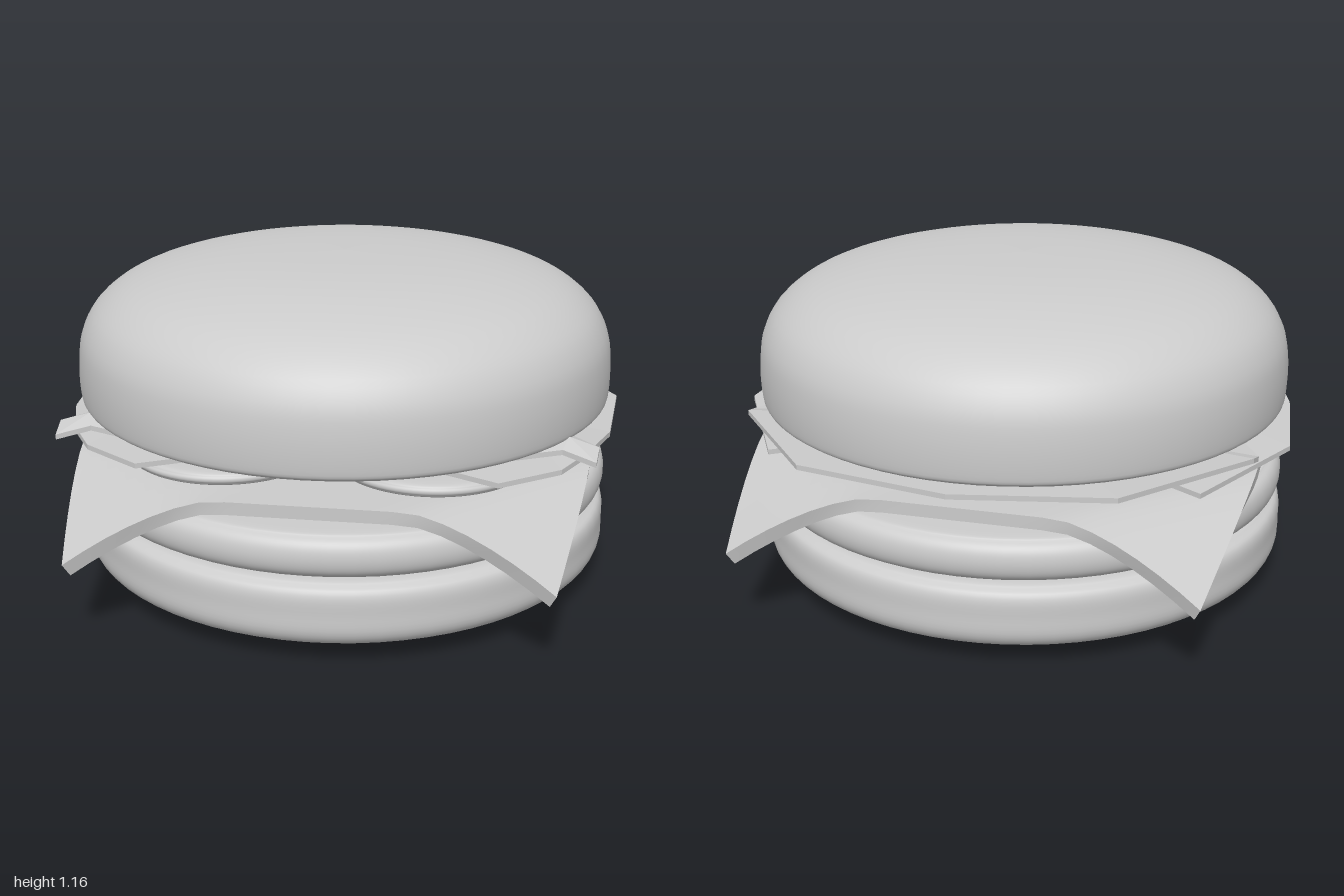
import * as THREE from 'three';
import { toCreasedNormals, mergeVertices } from 'three/addons/utils/BufferGeometryUtils.js';

const mat = new THREE.MeshStandardMaterial({ color: 0xcccccc });
const leafMat = new THREE.MeshStandardMaterial({ color: 0xcccccc, side: THREE.DoubleSide });
const CZ = 0.02; // depth of the stack's axis

const vec2 = (pts) => pts.map(([r, y]) => new THREE.Vector2(r, y));

// Smooth round layer turned from a few profile points, bottom to top
function turned(name, pts, samples = 48) {
  const profile = new THREE.SplineCurve(vec2(pts)).getPoints(samples);
  profile.forEach((p) => { p.x = Math.max(0, p.x); });
  const mesh = new THREE.Mesh(new THREE.LatheGeometry(profile, 72), mat);
  mesh.name = name;
  mesh.position.z = CZ;
  return mesh;
}

// Square slice whose four corners droop over the patty
function cheeseSlice() {
  const geo = mergeVertices(new THREE.BoxGeometry(2, 1, 2, 20, 1, 20).deleteAttribute('normal').deleteAttribute('uv'));
  const p = geo.attributes.position;
  for (let i = 0; i < p.count; i++) {
    const u = p.getX(i), v = p.getZ(i), top = p.getY(i) > 0;
    const fold = Math.max(0, (Math.abs(u) + Math.abs(v) - 1.35) / 0.65);
    const t = Math.pow(fold, 1.4);
    const inset = top ? 0 : 0.02 * Math.min(1, fold * 2);
    p.setXYZ(i,
      u * 0.9 - Math.sign(u) * (0.1 * t + inset),
      (top ? 0.53 : 0.485) - 0.22 * t,
      v * 0.845 + Math.sign(v) * (0.085 * t - inset) + CZ);
  }
  const mesh = new THREE.Mesh(toCreasedNormals(geo, 0.6), mat);
  mesh.name = 'cheeseSlice';
  return mesh;
}

// Thin faceted leaf: rim points [x, y, z] joined to a middle point, top and bottom
function leaf(name, mid, rim, thick = 0.018) {
  const pos = [];
  const down = ([x, y, z]) => [x, y - thick, z];
  rim.forEach((a, i) => {
    const b = rim[(i + 1) % rim.length];
    pos.push(...mid, ...a, ...b);
    pos.push(...down(mid), ...down(b), ...down(a));
    pos.push(...a, ...down(a), ...b, ...b, ...down(a), ...down(b));
  });
  const geo = new THREE.BufferGeometry();
  geo.setAttribute('position', new THREE.Float32BufferAttribute(pos, 3));
  geo.computeVertexNormals();
  const mesh = new THREE.Mesh(geo, leafMat);
  mesh.name = name;
  return mesh;
}

export function createModel() {
  const burger = new THREE.Group();
  burger.name = 'burger';

  burger.add(turned('bottomBun', [
    [0, 0.005], [0.4, 0.01], [0.65, 0.025], [0.82, 0.052], [0.92, 0.085], [0.957, 0.13],
    [0.96, 0.2], [0.957, 0.265], [0.93, 0.295], [0.85, 0.308], [0.4, 0.31], [0, 0.31],
  ]));

  burger.add(turned('patty', [
    [0, 0.315], [0.5, 0.315], [0.86, 0.315], [0.92, 0.325], [0.948, 0.35], [0.957, 0.392],
    [0.948, 0.435], [0.92, 0.46], [0.86, 0.47], [0.5, 0.47], [0, 0.47],
  ]));

  burger.add(cheeseSlice());

  // Three overlapping tomato slices
  [[0, -0.2], [-0.36, 0.41], [0.36, 0.41]].forEach(([x, z], i) => {
    const slice = turned('tomatoSlice' + (i + 1), [
      [0, 0.534], [0.2, 0.534], [0.325, 0.535], [0.345, 0.545], [0.35, 0.556],
      [0.345, 0.567], [0.325, 0.578], [0.2, 0.579], [0, 0.579],
    ], 28);
    slice.position.set(x, 0, z);
    burger.add(slice);
  });

  // Back leaf, rising towards the rear
  burger.add(leaf('backLettuce', [0, 0.625, -0.2], [
    [0, 0.652, -0.985], [-0.53, 0.66, -0.9], [-0.9, 0.645, -0.45], [-0.91, 0.625, -0.38],
    [-0.6, 0.615, 0.2], [0, 0.605, 0.5],
    [0.6, 0.615, 0.2], [0.91, 0.625, -0.38], [0.9, 0.645, -0.45], [0.53, 0.66, -0.9],
  ]));

  // Side leaves, with a small raised curl near the front
  for (const s of [1, -1]) {
    const rim = [
      [1.0, 0.592, -0.18], [0.75, 0.58, -0.63], [0.35, 0.59, -0.4], [0.2, 0.605, 0.1],
      [0.3, 0.6, 0.6], [0.6, 0.595, 0.74], [0.8, 0.605, 0.62], [0.88, 0.62, 0.5], [0.965, 0.6, 0.23],
    ];
    const curl = [
      [0.92, 0.655, 0.53], [0.8, 0.665, 0.42], [0.62, 0.64, 0.45], [0.62, 0.625, 0.58],
      [0.8, 0.655, 0.57], [0.91, 0.635, 0.62],
    ];
    const side = (pts) => {
      const mirrored = pts.map(([x, y, z]) => [x * s, y, z]);
      return s > 0 ? mirrored : mirrored.reverse();
    };
    const word = s > 0 ? 'left' : 'right';
    burger.add(leaf(word + 'Lettuce', [0.6 * s, 0.608, 0.1], side(rim)));
    burger.add(leaf(word + 'LettuceCurl', [0.82 * s, 0.68, 0.51], side(curl)));
  }

  burger.add(turned('topBun', [
    [0, 0.615], [0.4, 0.62], [0.7, 0.633], [0.88, 0.648], [0.945, 0.665], [0.96, 0.7],
    [0.96, 0.81], [0.94, 0.91], [0.88, 1.0], [0.76, 1.075], [0.55, 1.13], [0.3, 1.158], [0, 1.167],
  ]));

  return burger;
}
